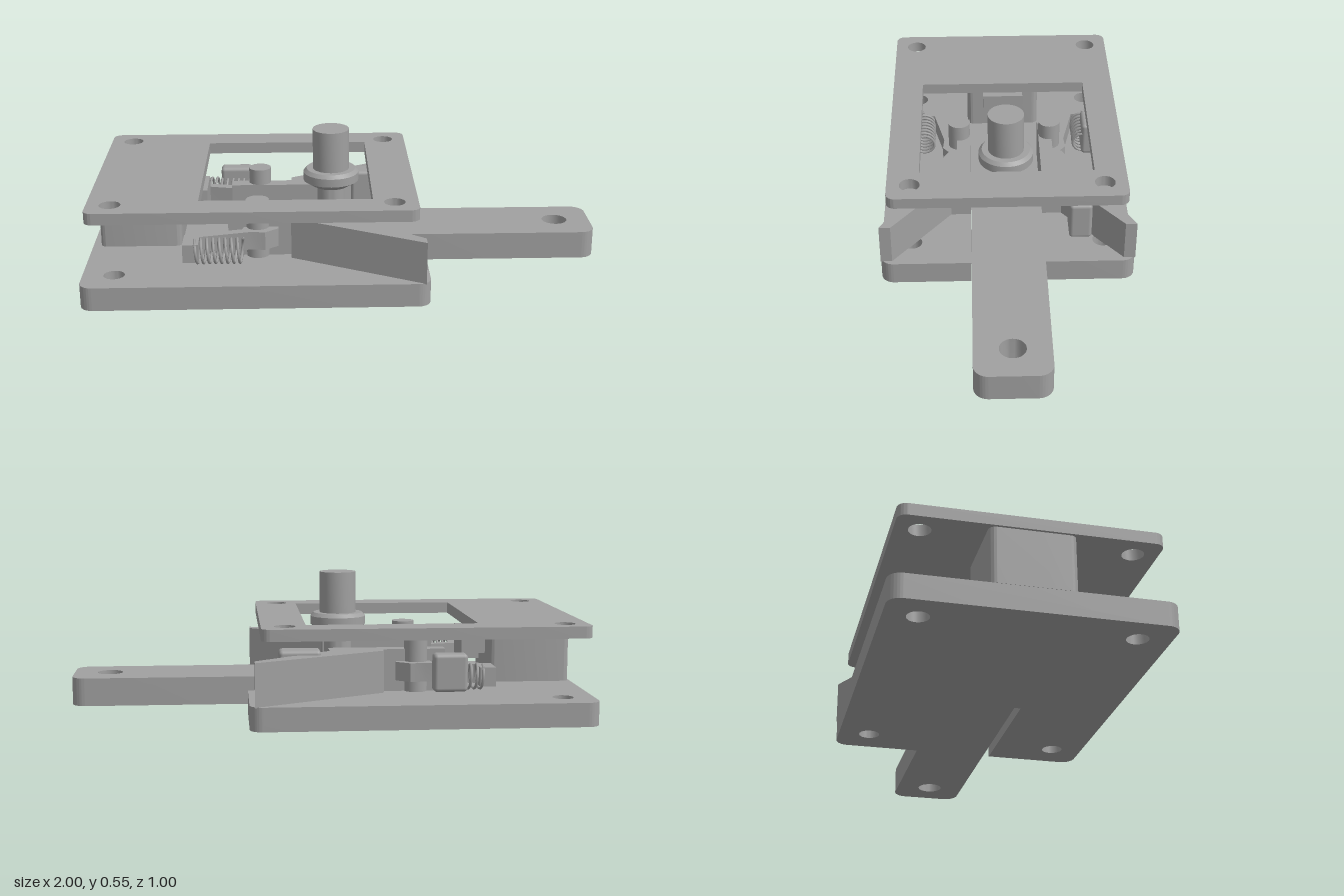
import * as THREE from 'three';
import { RoundedBoxGeometry } from 'three/addons/geometries/RoundedBoxGeometry.js';
import { toCreasedNormals } from 'three/addons/utils/BufferGeometryUtils.js';

const steel = new THREE.MeshStandardMaterial({ color: 0xa0a0a0 });
steel.name = 'steel grey';

// Plan outlines use x and z; extrusion runs upward in y
function roundRect(x0, x1, z0, z1, r) {
  const s = new THREE.Shape();
  s.moveTo(x0 + r, z0);
  s.lineTo(x1 - r, z0).absarc(x1 - r, z0 + r, r, -Math.PI / 2, 0);
  s.lineTo(x1, z1 - r).absarc(x1 - r, z1 - r, r, 0, Math.PI / 2);
  s.lineTo(x0 + r, z1).absarc(x0 + r, z1 - r, r, Math.PI / 2, Math.PI);
  s.lineTo(x0, z0 + r).absarc(x0 + r, z0 + r, r, Math.PI, Math.PI * 1.5);
  return s;
}

function polygon(points) {
  return new THREE.Shape(points.map(([x, z]) => new THREE.Vector2(x, z)));
}

function drill(shape, x, z, r) {
  shape.holes.push(new THREE.Path().absarc(x, z, r, 0, Math.PI * 2, true));
}

function slab(shape, y0, y1) {
  const g = new THREE.ExtrudeGeometry(shape, { depth: y1 - y0, bevelEnabled: false, curveSegments: 16 });
  g.rotateX(-Math.PI / 2);
  g.translate(0, y0, 0);
  return toCreasedNormals(g, 0.5);
}

export function createModel() {
  const model = new THREE.Group();
  const add = (name, geometry) => {
    const mesh = new THREE.Mesh(geometry, steel);
    mesh.name = name;
    model.add(mesh);
    return mesh;
  };
  const box = (name, x0, x1, y0, y1, z0, z1, r = 0) => {
    const size = [x1 - x0, y1 - y0, z1 - z0];
    const g = r ? new RoundedBoxGeometry(...size, 3, r) : new THREE.BoxGeometry(...size);
    add(name, g).position.set((x0 + x1) / 2, (y0 + y1) / 2, (z0 + z1) / 2);
  };
  const corners = [[-0.88, -0.38], [-0.88, 0.38], [0.18, -0.38], [0.18, 0.38]];

  // Base plate with a slot for the lever
  const r = 0.05;
  const base = new THREE.Shape();
  base.moveTo(-1 + r, -0.5);
  base.lineTo(0.315 - r, -0.5).absarc(0.315 - r, -0.5 + r, r, -Math.PI / 2, 0);
  base.lineTo(0.315, -0.145).lineTo(-0.21, -0.145).lineTo(-0.21, 0.145).lineTo(0.315, 0.145);
  base.lineTo(0.315, 0.5 - r).absarc(0.315 - r, 0.5 - r, r, 0, Math.PI / 2);
  base.lineTo(-1 + r, 0.5).absarc(-1 + r, 0.5 - r, r, Math.PI / 2, Math.PI);
  base.lineTo(-1, -0.5 + r).absarc(-1 + r, -0.5 + r, r, Math.PI, Math.PI * 1.5);
  corners.forEach(([x, z]) => drill(base, x, z, 0.04));
  add('basePlate', slab(base, 0, 0.092));

  // Cover plate with a square window
  const cover = roundRect(-0.97, 0.27, -0.47, 0.47, 0.035);
  corners.forEach(([x, z]) => drill(cover, x, z, 0.04));
  cover.holes.push(polygon([[-0.555, -0.345], [-0.555, 0.345], [0.1, 0.345], [0.1, -0.345]]));
  add('coverPlate', slab(cover, 0.33, 0.375));

  // Sliding lever
  const lever = roundRect(-0.21, 1, -0.143, 0.143, 0.055);
  drill(lever, 0.86, 0, 0.05);
  add('lever', slab(lever, 0.038, 0.147));

  // Turned shaft with a tapered collar
  const profile = [[0, 0.147], [0.072, 0.147], [0.072, 0.21], [0.055, 0.21], [0.055, 0.31], [0.07, 0.31],
    [0.11, 0.335], [0.11, 0.368], [0.097, 0.382], [0.072, 0.382], [0.072, 0.545], [0, 0.545]];
  const shaft = new THREE.LatheGeometry(profile.map(([x, y]) => new THREE.Vector2(x, y)), 40);
  add('shaft', toCreasedNormals(shaft, 0.4)).position.x = -0.05;

  // Block hanging below the cover, with its inner stop
  add('hangingBlock', slab(roundRect(-0.96, -0.64, -0.155, 0.155, 0.025), 0.115, 0.33));
  box('stopStem', -0.65, -0.6, 0.215, 0.27, -0.06, 0.06);
  box('stopPlate', -0.61, -0.54, 0.2, 0.32, -0.085, 0.085);

  for (const side of [1, -1]) {
    // Guide rail flaring into a diagonal wing
    const rail = [[-0.455, 0.145], [0, 0.145], [0, 0.225], [0.295, 0.455], [0.295, 0.5],
      [-0.21, 0.235], [-0.21, 0.2], [-0.455, 0.2]].map(([x, z]) => [x, z * side]);
    add('guideWing', slab(polygon(rail), 0.09, 0.257));

    // Pivot pin, lug and pawl arm
    const pin = add('pivotPin', new THREE.CylinderGeometry(0.045, 0.045, 0.23, 32));
    pin.position.set(-0.34, 0.205, 0.19 * side);
    const pawl = [[-0.62, 0.275], [-0.55, 0.26], [-0.4, 0.225], [-0.38, 0.15], [-0.26, 0.16],
      [-0.26, 0.22], [-0.31, 0.26], [-0.37, 0.255], [-0.56, 0.3], [-0.56, 0.38], [-0.62, 0.38]]
      .map(([x, z]) => [x, z * side]);
    add('pawlArm', slab(polygon(pawl), 0.137, 0.21));

    // Coil spring
    const turns = 8, coil = [];
    for (let i = 0; i <= turns * 14; i++) {
      const a = (i / 14) * Math.PI * 2;
      coil.push(new THREE.Vector3(-0.575 + (0.185 * i) / (turns * 14),
        0.172 + Math.cos(a) * 0.046, (0.345 + Math.sin(a) * 0.046) * side));
    }
    add('coilSpring', new THREE.TubeGeometry(new THREE.CatmullRomCurve3(coil), 220, 0.0055, 6));
  }

  // Rear spring seat and catch block
  box('springSeat', -0.51, -0.38, 0.12, 0.265, -0.4, -0.335, 0.015);
  box('catchBlock', 0.04, 0.2, 0.115, 0.275, -0.335, -0.245, 0.015);

  return model;
}
